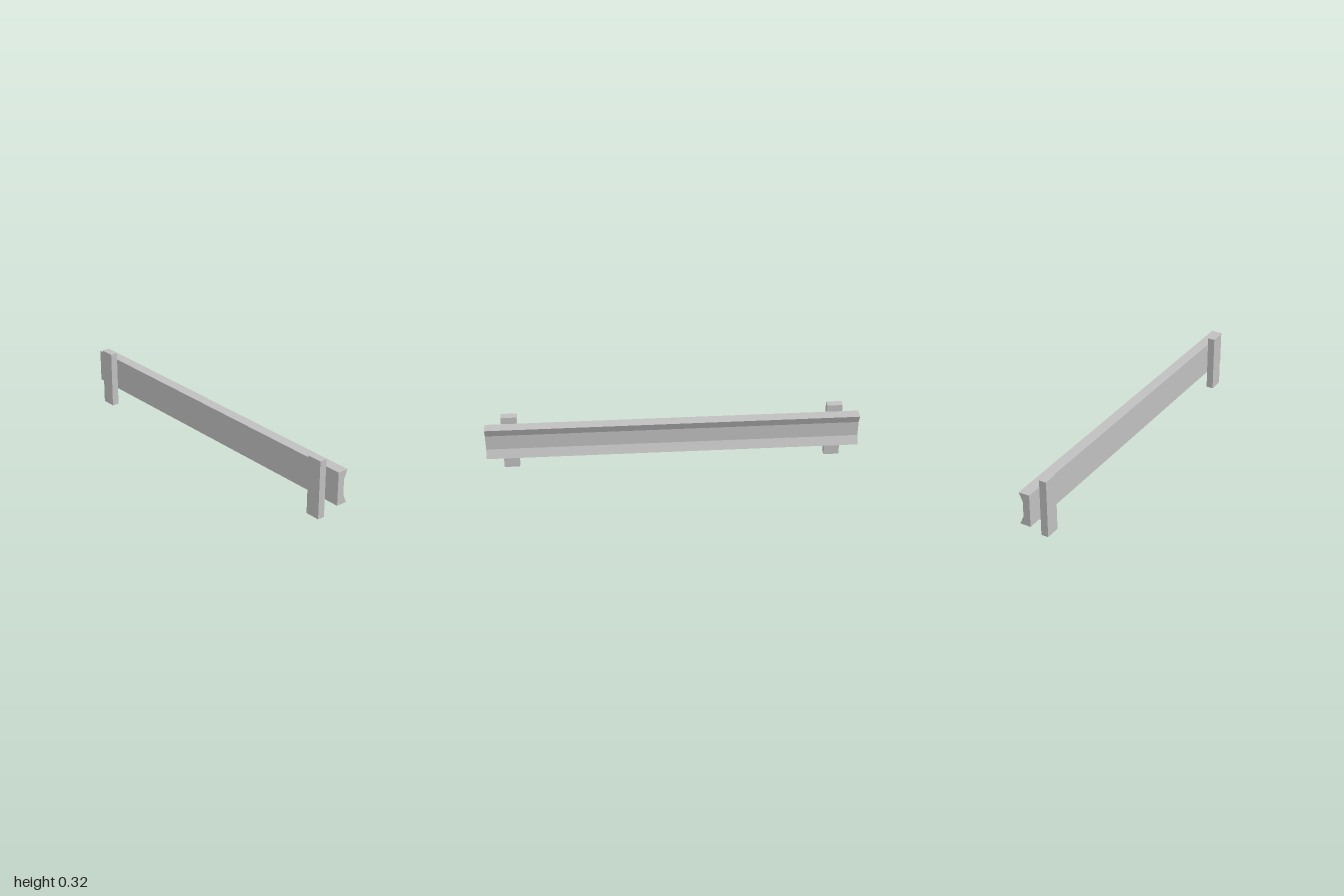
import * as THREE from 'three';

export function createModel() {
  const model = new THREE.Group();
  model.name = 'guardRail';
  const steel = new THREE.MeshStandardMaterial({ color: 0xc0c0c0 });
  steel.name = 'grey steel';

  // Rail: channel cross-section swept along z
  const profile = [[-0.01, 0.1], [0.05, 0.1], [0.029, 0.148], [0.029, 0.233], [0.05, 0.281], [-0.01, 0.281]];
  const shape = new THREE.Shape(profile.map(([x, y]) => new THREE.Vector2(x, y)));
  const railGeometry = new THREE.ExtrudeGeometry(shape, { depth: 2, bevelEnabled: false });
  railGeometry.translate(0, 0, -1);
  const rail = new THREE.Mesh(railGeometry, steel);
  rail.name = 'rail';
  model.add(rail);

  // Posts behind the rail, one near each end
  const postGeometry = new THREE.BoxGeometry(0.04, 0.32, 0.083);
  for (const side of [1, -1]) {
    const post = new THREE.Mesh(postGeometry, steel);
    post.name = side > 0 ? 'frontPost' : 'backPost';
    post.position.set(-0.03, 0.16, side * 0.872);
    model.add(post);
  }

  return model;
}
